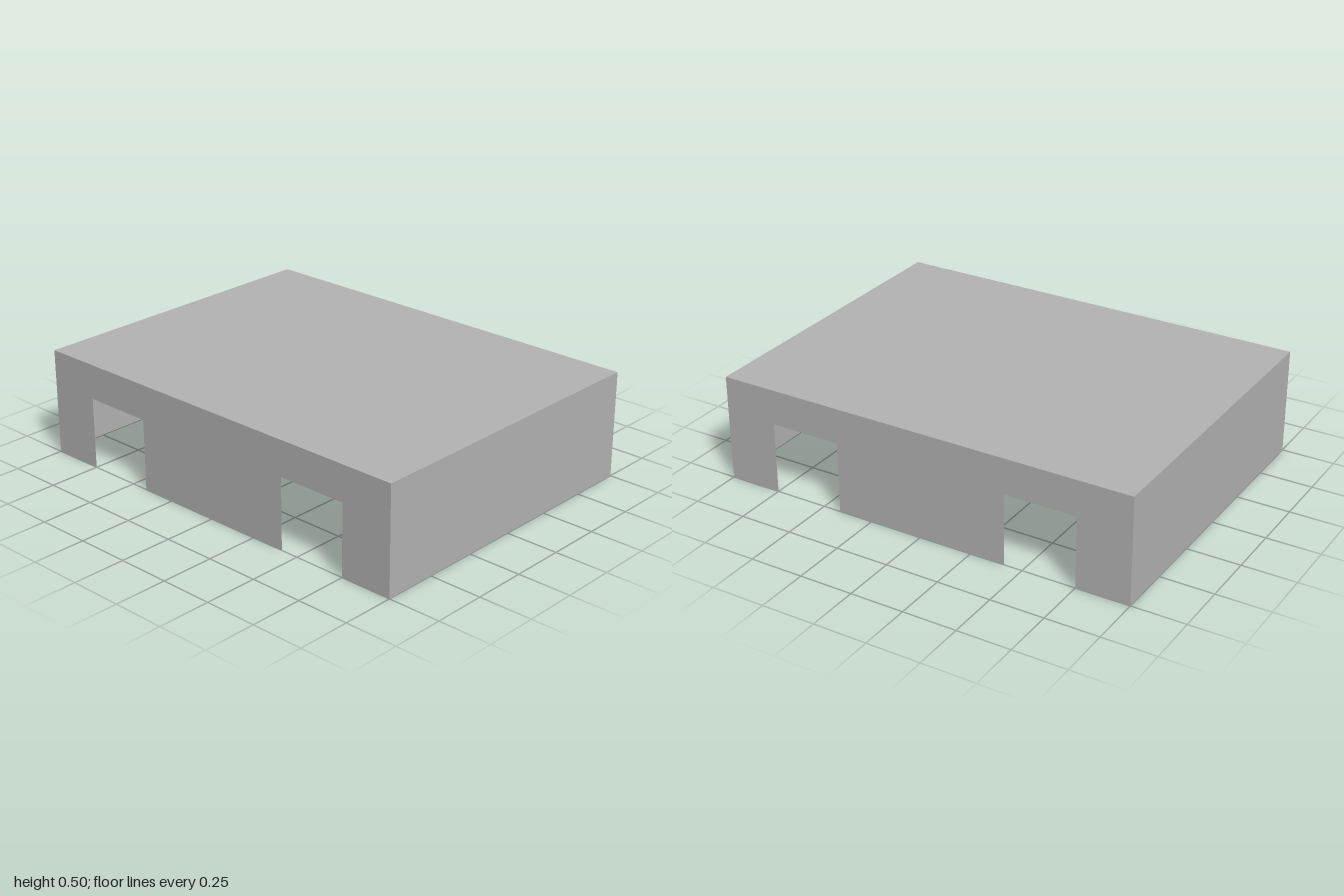
import * as THREE from 'three';

const W = 2, H = 0.5, D = 1.5;                 // overall size
const SLOT_IN = 0.415, SLOT_OUT = 0.75, SLOT_TOP = 0.335;

export function createModel() {
  const model = new THREE.Group();
  model.name = 'openBottomCover';
  const grey = new THREE.MeshStandardMaterial({ color: 0xb2b2b2, side: THREE.DoubleSide });
  grey.name = 'light grey';

  const add = (name, geometry, position, rotation = [0, 0, 0]) => {
    const mesh = new THREE.Mesh(geometry, grey);
    mesh.name = name;
    mesh.position.set(...position);
    mesh.rotation.set(...rotation);
    model.add(mesh);
  };

  // Long wall outline with two square slots open at the bottom edge
  const outline = new THREE.Shape([
    [-W / 2, 0], [-SLOT_OUT, 0], [-SLOT_OUT, SLOT_TOP], [-SLOT_IN, SLOT_TOP], [-SLOT_IN, 0],
    [SLOT_IN, 0], [SLOT_IN, SLOT_TOP], [SLOT_OUT, SLOT_TOP], [SLOT_OUT, 0], [W / 2, 0],
    [W / 2, H], [-W / 2, H],
  ].map(([x, y]) => new THREE.Vector2(x, y)));
  const slottedWall = new THREE.ShapeGeometry(outline);
  add('frontWall', slottedWall, [0, 0, D / 2]);
  add('backWall', slottedWall, [0, 0, -D / 2], [0, Math.PI, 0]);

  // Plain end walls
  const endWall = new THREE.PlaneGeometry(D, H);
  add('leftWall', endWall, [W / 2, H / 2, 0], [0, Math.PI / 2, 0]);
  add('rightWall', endWall, [-W / 2, H / 2, 0], [0, -Math.PI / 2, 0]);

  // Flat top; the underside stays open
  add('topPanel', new THREE.PlaneGeometry(W, D), [0, H, 0], [-Math.PI / 2, 0, 0]);

  return model;
}
